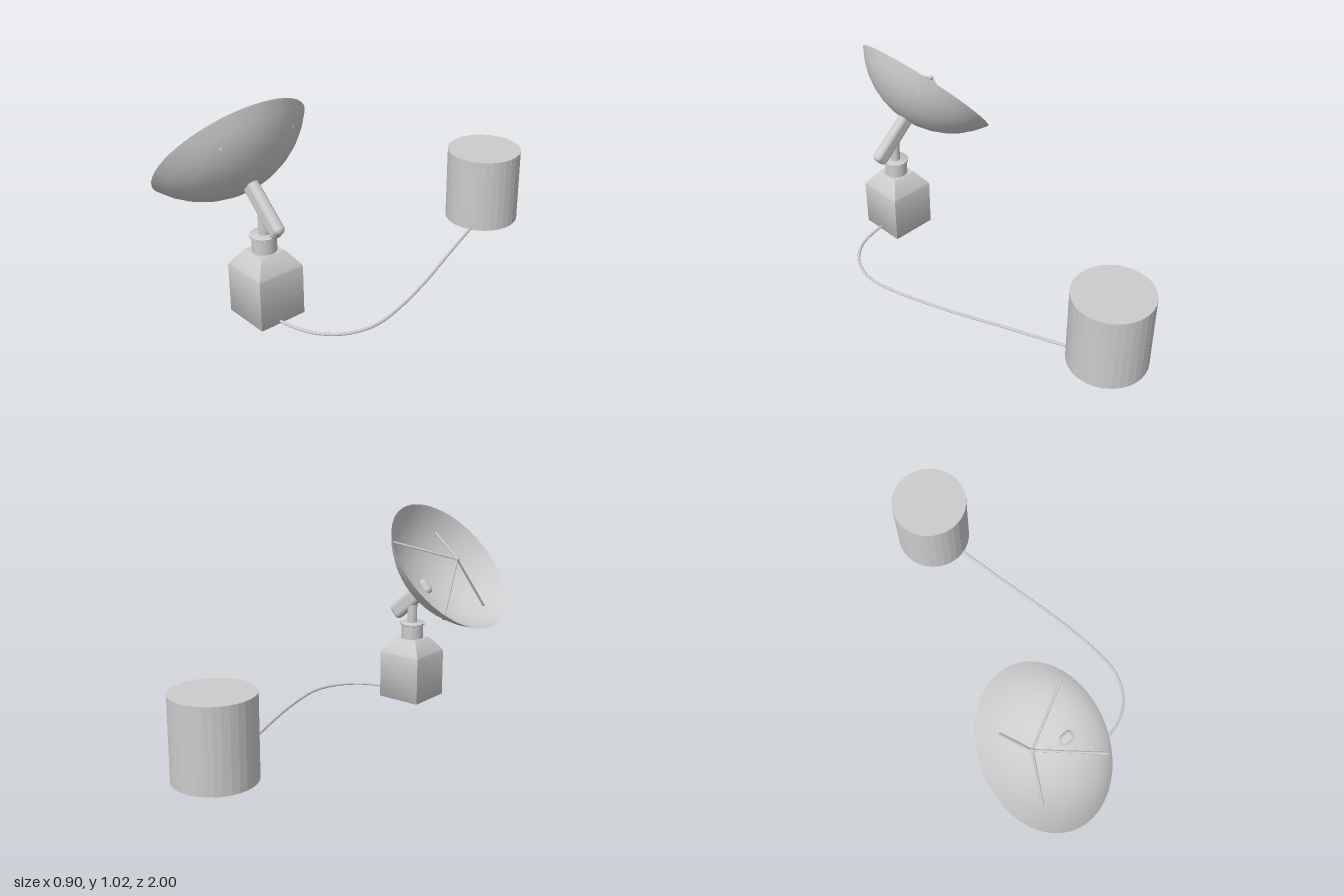
import * as THREE from 'three';
import { toCreasedNormals } from 'three/addons/utils/BufferGeometryUtils.js';
import { RoundedBoxGeometry } from 'three/addons/geometries/RoundedBoxGeometry.js';

const grey = new THREE.MeshStandardMaterial({ color: 0xcccccc });
const greyFlat = new THREE.MeshStandardMaterial({ color: 0xcccccc, flatShading: true });
const greyThin = new THREE.MeshStandardMaterial({ color: 0xcccccc, side: THREE.DoubleSide });

function add(parent, name, geometry, x = 0, y = 0, z = 0, material = grey) {
  const mesh = new THREE.Mesh(geometry, material);
  mesh.name = name;
  mesh.position.set(x, y, z);
  parent.add(mesh);
  return mesh;
}

// Lathe from [radius, height] pairs
const lathe = (pts, sides) =>
  new THREE.LatheGeometry(pts.map(([r, y]) => new THREE.Vector2(r, y)), sides);

// Straight rod between two points
function addRod(parent, name, a, b, radius) {
  const dir = b.clone().sub(a);
  const rod = add(parent, name, new THREE.CylinderGeometry(radius, radius, dir.length(), 8));
  rod.position.copy(a).add(b).multiplyScalar(0.5);
  rod.quaternion.setFromUnitVectors(new THREE.Vector3(0, 1, 0), dir.normalize());
}

function createPedestal() {
  const g = new THREE.Group();
  g.name = 'pedestal';

  // Square body with sloping shoulders; a four-sided lathe turned by 45 degrees
  const k = Math.SQRT2;
  const body = lathe([[0, 0], [0.115 * k, 0], [0.118 * k, 0.004], [0.118 * k, 0.24],
    [0.115 * k, 0.25], [0.066 * k, 0.316], [0.062 * k, 0.32], [0, 0.32]], 4);
  body.rotateY(Math.PI / 4);
  add(g, 'body', toCreasedNormals(body, 0.75));

  // Neck, rounded collar and swivel post
  add(g, 'neck', new THREE.CylinderGeometry(0.056, 0.056, 0.085, 32), 0, 0.355, 0);
  const collar = lathe([[0, 0.389], [0.06, 0.389], [0.064, 0.392], [0.064, 0.4],
    [0.06, 0.403], [0, 0.403]], 32);
  add(g, 'collar', toCreasedNormals(collar, 0.9));
  add(g, 'post', new THREE.CylinderGeometry(0.025, 0.025, 0.14, 24), 0.002, 0.465, 0);
  return g;
}

// Dish frame: local +y is the opening direction, origin at the rim centre
function createDish() {
  const g = new THREE.Group();
  g.name = 'dish';
  const R = 0.45, depth = 0.2, rim = 0.374;
  const maxAngle = Math.asin(rim / R);

  // Spherical bowl
  const profile = [];
  for (let i = 0; i <= 6; i++) {
    const a = (maxAngle * i) / 6;
    profile.push([R * Math.sin(a), R - depth - R * Math.cos(a)]);
  }
  add(g, 'bowl', lathe(profile, 48), 0, 0, 0, greyThin);

  // Support arm, just showing through the bottom of the bowl
  add(g, 'supportArm', new RoundedBoxGeometry(0.084, 0.278, 0.054, 4, 0.024), -0.001, -0.316, 0);

  // Receiver ball on four struts
  const focus = new THREE.Vector3(0, 0.051, 0);
  add(g, 'receiver', new THREE.SphereGeometry(0.012, 16, 12), 0, focus.y, 0);
  for (const sx of [-1, 1]) {
    for (const sz of [-1, 1]) {
      addRod(g, 'strut', focus, new THREE.Vector3(sx * 0.232, -0.087, sz * 0.188), 0.006);
    }
  }
  return g;
}

export function createModel() {
  const model = new THREE.Group();
  model.name = 'satelliteDishWithTank';

  const pedestal = createPedestal();
  pedestal.position.set(0.023, 0, 0.625);
  model.add(pedestal);

  const dish = createDish();
  dish.position.set(-0.2025, 0.735, 0.625);
  dish.rotation.z = 0.847;
  model.add(dish);

  // Faceted tank behind
  add(model, 'tank', new THREE.CylinderGeometry(0.191, 0.191, 0.388, 32), 0.022, 0.196, -0.809, greyFlat);

  // Cable lying on the ground from pedestal to tank
  const path = [[0.08, 0.643], [0.14, 0.64], [0.22, 0.625], [0.31, 0.59], [0.395, 0.51],
    [0.437, 0.41], [0.443, 0.32], [0.42, 0.2], [0.34, -0.05], [0.22, -0.35], [0.105, -0.64], [0.09, -0.68]];
  const curve = new THREE.CatmullRomCurve3(path.map(([x, z]) => new THREE.Vector3(x, 0.012, z)));
  add(model, 'cable', new THREE.TubeGeometry(curve, 72, 0.007, 10));

  return model;
}
